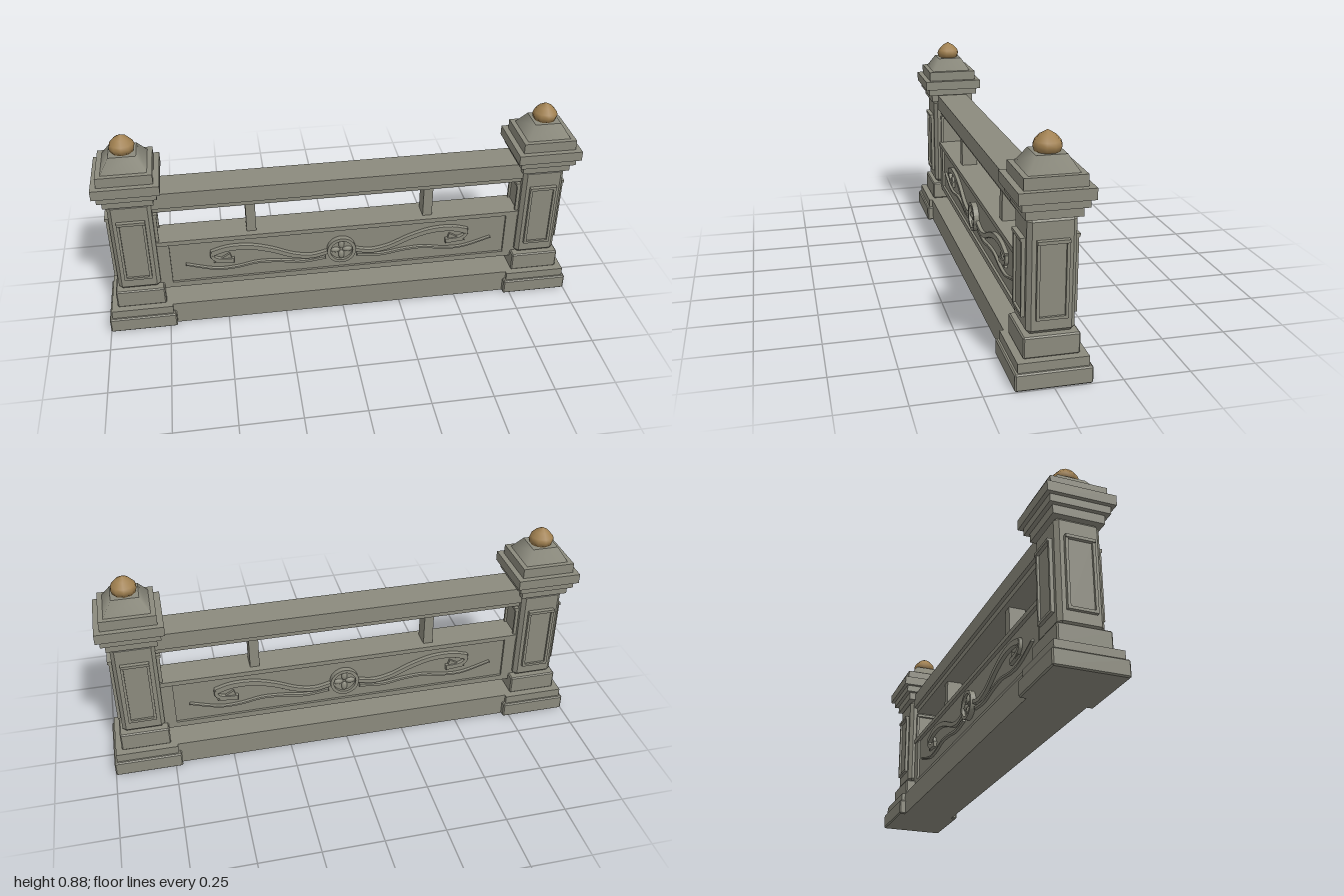
import * as THREE from 'three';
import { ConvexGeometry } from 'three/addons/geometries/ConvexGeometry.js';

const stone = new THREE.MeshStandardMaterial({ color: 0x8b8a7d });
stone.name = 'stone';
const bronze = new THREE.MeshStandardMaterial({ color: 0xa08050 });
bronze.name = 'bronze';

function add(parent, name, geometry, x = 0, y = 0, z = 0, material = stone) {
  const mesh = new THREE.Mesh(geometry, material);
  mesh.name = name;
  mesh.position.set(x, y, z);
  parent.add(mesh);
  return mesh;
}

// Box given by its bottom and top heights
function slab(parent, name, w, y0, y1, d, x = 0, z = 0) {
  return add(parent, name, new THREE.BoxGeometry(w, y1 - y0, d), x, (y0 + y1) / 2, z);
}

// Box with every edge cut by a flat chamfer
function chamferBox(w, h, d, c) {
  const points = [];
  for (const sx of [-1, 1]) for (const sy of [-1, 1]) for (const sz of [-1, 1]) {
    for (let axis = 0; axis < 3; axis++) {
      const cut = [c, c, c];
      cut[axis] = 0;
      points.push(new THREE.Vector3(sx * (w / 2 - cut[0]), sy * (h / 2 - cut[1]), sz * (d / 2 - cut[2])));
    }
  }
  return new ConvexGeometry(points);
}

// Rectangular frame standing in the xy plane, facing +z
function frame(w, h, border, depth) {
  const rect = (T, a, b) => {
    const p = new T();
    p.moveTo(-a, -b).lineTo(a, -b).lineTo(a, b).lineTo(-a, b).closePath();
    return p;
  };
  const shape = rect(THREE.Shape, w / 2, h / 2);
  shape.holes.push(rect(THREE.Path, w / 2 - border, h / 2 - border));
  return new THREE.ExtrudeGeometry(shape, { depth, bevelEnabled: false });
}

// Tapered carved ribbon along a smooth line
function ribbon(points, side, w0, w1, depth) {
  const curve = new THREE.SplineCurve(points.map(([x, y]) => new THREE.Vector2(x * side, y)));
  const left = [], right = [], n = 32;
  for (let i = 0; i <= n; i++) {
    const t = i / n, p = curve.getPoint(t), tan = curve.getTangent(t);
    const half = THREE.MathUtils.lerp(w0, w1, t) / 2;
    left.push(new THREE.Vector2(p.x - tan.y * half, p.y + tan.x * half));
    right.unshift(new THREE.Vector2(p.x + tan.y * half, p.y - tan.x * half));
  }
  return new THREE.ExtrudeGeometry(new THREE.Shape([...left, ...right]), {
    depth, bevelEnabled: true, bevelThickness: 0.003, bevelSize: 0.002, bevelSegments: 1,
  });
}

function createPost(x, name) {
  const post = new THREE.Group();
  post.name = name;
  post.position.x = x;

  // Stepped foot and chamfered shaft
  add(post, 'plinth', chamferBox(0.28, 0.065, 0.28, 0.005), 0, 0.0325);
  slab(post, 'plinthStep', 0.256, 0.065, 0.1, 0.256);
  add(post, 'shaftBase', chamferBox(0.204, 0.08, 0.204, 0.005), 0, 0.14);
  add(post, 'shaft', chamferBox(0.174, 0.422, 0.174, 0.015), 0, 0.391);

  // Raised panel on each of the four faces
  for (let i = 0; i < 4; i++) {
    const face = new THREE.Group();
    face.name = 'shaftPanel';
    face.rotation.y = i * Math.PI / 2;
    add(face, 'panelFrame', frame(0.114, 0.286, 0.011, 0.014), 0, 0.38, 0.086);
    slab(face, 'panelField', 0.094, 0.247, 0.513, 0.008, 0, 0.087);
    slab(face, 'panelLip', 0.114, 0.512, 0.524, 0.018, 0, 0.096);
    post.add(face);
  }

  // Stepped capital
  [[0.2, 0.6, 0.635], [0.234, 0.635, 0.665], [0.266, 0.665, 0.706], [0.22, 0.706, 0.748]]
    .forEach(([w, y0, y1]) => slab(post, 'capitalStep', w, y0, y1, w));
  const roof = new THREE.CylinderGeometry(0.054 * Math.SQRT2, 0.09 * Math.SQRT2, 0.056, 4);
  roof.rotateY(Math.PI / 4);
  add(post, 'capitalRoof', roof, 0, 0.776);

  // Pointed ball finial
  const profile = [[0, 0], [0.045, 0], [0.052, 0.021], [0.047, 0.036], [0.028, 0.057], [0, 0.073]];
  add(post, 'finial', new THREE.LatheGeometry(profile.map(p => new THREE.Vector2(...p)), 10), 0, 0.803, 0, bronze);
  return post;
}

function createOrnament(name) {
  const ornament = new THREE.Group();
  ornament.name = name;

  // Round medallion with four petals
  const ring = new THREE.Shape().absarc(0, 0, 0.062, 0, Math.PI * 2);
  ring.holes.push(new THREE.Path().absarc(0, 0, 0.048, 0, Math.PI * 2));
  add(ornament, 'medallionRing', new THREE.ExtrudeGeometry(ring, { depth: 0.024, bevelEnabled: false, curveSegments: 16 }), 0, 0.27, 0.049);
  const disc = new THREE.CylinderGeometry(0.05, 0.05, 0.012, 32);
  disc.rotateX(Math.PI / 2);
  add(ornament, 'medallionField', disc, 0, 0.27, 0.054);
  for (let i = 0; i < 4; i++) {
    const petal = new THREE.SphereGeometry(1, 12, 8);
    petal.scale(0.013, 0.021, 0.01).translate(0, 0.026, 0).rotateZ(i * Math.PI / 2);
    add(ornament, 'petal', petal, 0, 0.27, 0.06);
  }

  // Scrolling vines on both sides
  const upper = [[0.06, 0.262], [0.13, 0.248], [0.21, 0.262], [0.3, 0.3], [0.39, 0.325], [0.48, 0.327], [0.55, 0.308]];
  const curl = [[0.55, 0.312], [0.545, 0.285], [0.515, 0.268], [0.46, 0.263]];
  const lower = [[0.07, 0.232], [0.17, 0.222], [0.27, 0.236], [0.36, 0.24], [0.45, 0.225], [0.54, 0.225], [0.66, 0.26]];
  for (const side of [-1, 1]) {
    add(ornament, 'upperVine', ribbon(upper, side, 0.016, 0.024, 0.013), 0, 0, 0.049);
    add(ornament, 'vineCurl', ribbon(curl, side, 0.012, 0.022, 0.013), 0, 0, 0.048);
    add(ornament, 'lowerVine', ribbon(lower, side, 0.012, 0.006, 0.009), 0, 0, 0.049);
    const leaf = new THREE.Shape();
    leaf.moveTo(0.46 * side, 0.25).lineTo(0.545 * side, 0.258).lineTo(0.475 * side, 0.3).closePath();
    add(ornament, 'vineLeaf', new THREE.ExtrudeGeometry(leaf, { depth: 0.012, bevelEnabled: false }), 0, 0, 0.049);
  }
  return ornament;
}

export function createModel() {
  const model = new THREE.Group();
  model.name = 'balustrade';

  model.add(createPost(0.86, 'leftPost'), createPost(-0.86, 'rightPost'));

  // Base beam and stepped handrail
  slab(model, 'baseBeam', 1.6, 0, 0.1, 0.226);
  slab(model, 'handrail', 1.6, 0.56, 0.63, 0.14);
  slab(model, 'handrailUnderside', 1.6, 0.535, 0.56, 0.11);

  // Panel with a raised border on both sides
  slab(model, 'panelCore', 1.56, 0.15, 0.37, 0.1);
  slab(model, 'panelTop', 1.56, 0.37, 0.39, 0.13);
  for (const back of [0, 1]) {
    const side = new THREE.Group();
    side.name = back ? 'panelBack' : 'panelFront';
    side.rotation.y = back * Math.PI;
    slab(side, 'lowerBorder', 1.56, 0.15, 0.175, 0.012, 0, 0.054);
    for (const s of [-1, 1]) slab(side, 'endBorder', 0.06, 0.175, 0.37, 0.012, s * 0.753, 0.054);
    side.add(createOrnament('carving'));
    model.add(side);
  }

  // Short uprights between panel and handrail
  for (const s of [-1, 1]) slab(model, 'upright', 0.04, 0.39, 0.535, 0.07, s * 0.377);

  return model;
}
